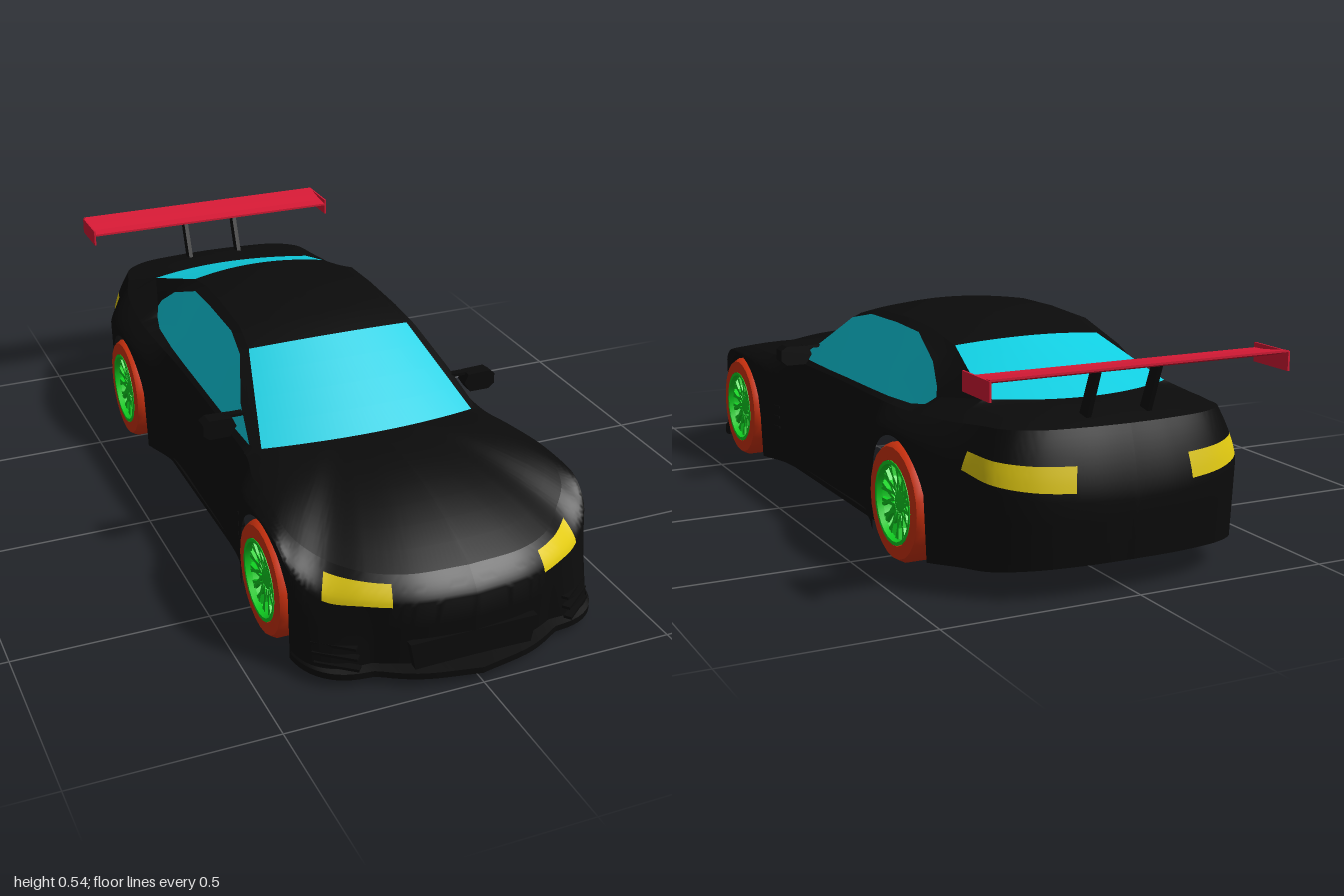
import * as THREE from 'three';
import { mergeGeometries, toCreasedNormals } from 'three/addons/utils/BufferGeometryUtils.js';

const V = (x, y, z) => new THREE.Vector3(x, y, z);
const mat = (color) => new THREE.MeshStandardMaterial({ color, side: THREE.DoubleSide });
const paint = mat(0x0b0b0b), glass = mat(0x0fd0e3), lamp = mat(0xe2ca10);
const red = mat(0xd81a36), rubber = mat(0xd4330f), green = mat(0x10d422);

// Plan outline from nose centre to tail centre: waist x, z, y, then top edge x, z, y
const outline = [
  [0, .95, .2, 0, .9, .262], [.15, .93, .2, .145, .885, .262], [.255, .882, .2, .235, .842, .264],
  [.335, .822, .2, .305, .768, .272], [.388, .765, .25, .35, .713, .298], [.4, .7, .3, .365, .66, .316],
  [.404, .605, .308, .366, .6, .328], [.398, .45, .295, .36, .45, .332], [.364, .34, .26, .335, .335, .332],
  [.355, .2, .25, .332, .2, .335], [.352, 0, .25, .332, 0, .34], [.355, -.25, .255, .335, -.25, .343],
  [.397, -.4, .295, .345, -.4, .35], [.406, -.54, .312, .35, -.54, .36], [.398, -.68, .3, .335, -.7, .372],
  [.355, -.8, .27, .305, -.8, .38], [.325, -.89, .25, .282, -.87, .384], [.25, -.945, .235, .22, -.915, .385],
  [.12, -.975, .225, .1, -.935, .385], [0, -.98, .22, 0, -.94, .385],
];
const last = outline.length - 1;
const waist = new THREE.CatmullRomCurve3(outline.map((c) => V(c[0], c[2], c[1])));
const top = new THREE.CatmullRomCurve3(outline.map((c) => V(c[3], c[5], c[4])));
const edge = (u) => top.getPoint(u / last);
const edgeAtZ = (z) => {
  let a = 0, b = last;
  for (let i = 0; i < 30; i++) { const m = (a + b) / 2; if (edge(m).z > z) a = m; else b = m; }
  return edge(a);
};

// Lower edge of the shell, lifted over the wheels
const axles = [[.605, .155], [-.54, .16]];
function lowerY(z) {
  for (const [c, r] of axles) if (Math.abs(z - c) < r) return .146 + Math.sqrt(r * r - (z - c) ** 2);
  return z > .7 ? .022 : z > -.6 ? .03 : .04 + (-.7 - z) * .13;
}
// Point on the side skin: v 0 = lower edge, 1 = waist, 2 = top edge
function skin(u, v) {
  const w = waist.getPoint(u / last);
  if (v <= 1) {
    // The bumper flares out at the front corners and tucks in elsewhere
    const flare = Math.sin(Math.PI * THREE.MathUtils.clamp((u - 1.8) / 2.4, 0, 1)) * (1 - v);
    const s = 1 - .01 * (1 - v);
    return V(w.x * (s + .05 * flare), THREE.MathUtils.lerp(Math.min(lowerY(w.z), w.y), w.y, v), w.z * s + .045 * flare);
  }
  const t = edge(u), k = v - 1;
  return V(w.x + (t.x - w.x) * k ** 1.5, w.y + (t.y - w.y) * k, w.z + (t.z - w.z) * k ** 1.5);
}

// Surface from rows of points, with its mirror image
function surface(rows, skip) {
  const pos = [], idx = [], n = rows[0].length;
  rows.forEach((r) => r.forEach((p) => pos.push(p.x, p.y, p.z)));
  for (let i = 0; i < rows.length - 1; i++) for (let j = 0; j < n - 1; j++) {
    if (skip && skip(i, j)) continue;
    const a = i * n + j;
    idx.push(a, a + 1, a + n, a + 1, a + n + 1, a + n);
  }
  const g = new THREE.BufferGeometry();
  g.setAttribute('position', new THREE.Float32BufferAttribute(pos, 3));
  g.setIndex(idx);
  const m = g.clone().scale(-1, 1, 1);
  return toCreasedNormals(mergeGeometries([g, m]), .6);
}
// Line between two points, bowed in y and z
const bow = (a, b, n, dy = 0, dz = 0) => Array.from({ length: n + 1 }, (_, i) => {
  const t = i / n, k = 4 * t * (1 - t);
  return a.clone().lerp(b, t).add(V(0, dy * k, dz * k));
});
// Bowed so that it runs level across the centre line at b
const crown = (a, b, n) => bow(a, b, n, (b.y - a.y) / 4, (b.z - a.z) / 4);
const ruled = (A, B, n, dy = () => 0) => A.map((a, i) => bow(a, B[i], n, dy(i / (A.length - 1))));

export function createModel() {
  const car = new THREE.Group();
  const add = (name, geo, m, parent = car) => {
    const mesh = new THREE.Mesh(geo, m);
    mesh.name = name;
    parent.add(mesh);
    return mesh;
  };
  const box = (name, size, at, m = paint, parent = car) => {
    const b = add(name, new THREE.BoxGeometry(...size), m, parent);
    b.position.set(...at);
    return b;
  };
  // Outline in the x-y or z-y plane, given thickness
  const plate = (pts, depth) => new THREE.ExtrudeGeometry(
    new THREE.Shape(pts.map(([a, b]) => new THREE.Vector2(a, b))), { depth, bevelEnabled: false });

  // Side skin, nose and tail, with the lamps set into it
  const sub = 12, levels = [0, .33, .67, ...Array.from({ length: 9 }, (_, i) => 1 + i / 8)];
  const rows = Array.from({ length: last * sub + 1 }, (_, i) => levels.map((v) => skin(i / sub, v)));
  const head = (i, j) => i >= 17 && i < 36 && j >= 3 && j < 9;
  const tail = (i, j) => i >= 15 * sub && i < 17.75 * sub && j >= 4 && j < 7;
  add('bodyShell', surface(rows, (i, j) => head(i, j) || tail(i, j)), paint);
  add('headlights', surface(rows, (i, j) => !head(i, j)), lamp);
  add('taillights', surface(rows, (i, j) => !tail(i, j)), lamp);

  // Cabin lines: lower and upper edge of the side window, and the roof rail
  const sill = [V(.316, .345, .305), V(.319, .346, .2), V(.32, .347, .07), V(.321, .35, -.04), V(.321, .352, -.2),
    V(.32, .354, -.32), V(.315, .36, -.45), V(.302, .37, -.51), V(.29, .392, -.54)];
  const lintel = [sill[0], V(.296, .405, .19), V(.253, .488, .07), V(.24, .511, -.03), V(.24, .515, -.2),
    V(.24, .511, -.33), V(.262, .462, -.46), V(.282, .415, -.525), sill[8]];
  const rail = [V(.295, .345, .335), V(.2615, .4215, .2025), V(.228, .498, .07), V(.217, .522, -.03), V(.212, .527, -.2),
    V(.207, .521, -.33), V(.2, .495, -.455), V(.2225, .455, -.5775), V(.245, .415, -.7)];
  const spine = [V(0, .515, .1), V(0, .537, 0), V(0, .541, -.2), V(0, .534, -.33), V(0, .508, -.475)];
  const across = 24;
  const screenBase = V(0, .362, .39), rearBase = V(0, .41, -.76);
  const roof = spine.map((p, i) => crown(rail[i + 2], p, across));
  add('sideWindows', surface(ruled(sill, lintel, 3)), glass);
  add('windshield', surface(ruled(roof[0], crown(rail[0], screenBase, across), 4)), glass);
  add('rearWindow', surface(ruled(roof[4], crown(rail[8], rearBase, across), 4)), glass);
  add('roof', surface(roof), paint);
  add('pillars', surface(ruled(lintel, rail, 2)), paint);
  const beltLine = [rail[0], ...sill, rail[8]];
  const belt = beltLine.slice(1).flatMap((p, i) => bow(beltLine[i], p, 8));
  add('beltPanels', surface(ruled(belt.map((p) => edgeAtZ(p.z)), belt, 2)), paint);

  // Hood and trunk lid run from the top edge to the glass
  const span = (a, b) => Array.from({ length: (b - a) * sub + 1 }, (_, i) => edge(a + i / sub));
  const hoodEdge = span(0, 8), trunkEdge = span(14, last);
  add('hood', surface(ruled(hoodEdge, crown(rail[0], screenBase, hoodEdge.length - 1).reverse(), 8, (t) => .038 * (1 - t))), paint);
  add('trunkLid', surface(ruled(trunkEdge, crown(rail[8], rearBase, trunkEdge.length - 1), 5, (t) => .006 * t)), paint);

  // Front splitter following the lower edge of the nose
  const lip = Array.from({ length: 25 }, (_, i) => {
    const u = i / 6, p = skin(u, 0), d = .054 * (1 - u / 4) ** 1.1;
    const at = (s, y, dz) => V(p.x * s, y, p.z + dz);
    return [at(1, .042, 0), at(1.01, .038, d), at(1.01, .022, d), at(.93, .022, -.03)];
  });
  add('frontSplitter', surface(lip), paint);
  add('lowerGrille', plate([[-.15, .035], [.15, .035], [.165, .11], [-.165, .11]], .02), paint).position.z = .925;

  for (const s of [-1, 1]) {
    box('sideSkirt', [.03, .014, .82], [s * .337, .036, .032]);
    // Bumper corner slats and fender louvres
    for (let i = 0; i < 3; i++) {
      box('bumperSlat', [.11, .007, .02], [s * .316, .05 + i * .022, .872 - i * .01]).rotation.y = s * .68;
      box('fenderLouvre', [.012, .006, .07], [s * .372, .13 + i * .03, .39]).rotation.y = s * .25;
    }

    // Door mirror
    const mirror = new THREE.Group();
    mirror.name = 'doorMirror';
    const shell = plate([[.325, .37], [.343, .343], [.398, .343], [.414, .356], [.414, .385], [.398, .396], [.336, .394]]
      .map(([x, y]) => [s * x, y]), .04);
    add('mirrorShell', shell, paint, mirror).position.z = .197;
    box('mirrorArm', [.06, .008, .02], [s * .318, .391, .21], paint, mirror);
    car.add(mirror);

    // Wing strut leaning back
    const strut = plate([[.85, .375], [.885, .375], [.935, .51], [.905, .51]], .012);
    strut.rotateY(Math.PI / 2).translate(s * .08 - .006, 0, 0);
    add('wingStrut', strut, paint);
    box('wingEndPlate', [.005, .046, .13], [s * .383, .503, -.935], red);
  }

  // Rear wing blade
  const blade = plate([[.872, .508], [.91, .505], [.955, .511], [.998, .524], [.998, .529], [.95, .522], [.91, .516], [.872, .514]], .766);
  add('wingBlade', blade.rotateY(Math.PI / 2).translate(-.383, 0, 0), red);

  // Wheels: profiles are radius and distance from the inner face
  const lathe = (pts, n = 24) => toCreasedNormals(
    new THREE.LatheGeometry(pts.map(([r, x]) => new THREE.Vector2(r, x)), n).rotateZ(-Math.PI / 2), .6);
  const tyre = lathe([[.092, .004], [.136, 0], [.145, .012], [.145, .155], [.136, .17], [.104, .172], [.094, .004]]);
  const rim = lathe([[.082, .006], [.092, .004], [.094, .06], [.098, .15], [.103, .173], [.094, .173], [.09, .158]]);
  const hub = lathe([[.001, .085], [.06, .09], [.06, .14], [.03, .152], [.012, .16], [.001, .16]], 20);
  const spokes = [];
  for (let i = 0; i < 14; i++) for (const k of [-1, 1]) {
    const g = new THREE.BoxGeometry(.012, .075, .008);
    g.rotateZ(-.1).rotateX(k * .22).translate(.152, .064, 0).rotateX(i * Math.PI / 7);
    spokes.push(g);
  }
  const spokeGeo = mergeGeometries(spokes);
  for (const [z] of axles) for (const s of [-1, 1]) {
    const wheel = new THREE.Group();
    wheel.name = (z > 0 ? 'front' : 'rear') + (s > 0 ? 'Left' : 'Right') + 'Wheel';
    add('tyre', tyre, rubber, wheel);
    add('rim', rim, green, wheel);
    add('hub', hub, green, wheel);
    add('spokes', spokeGeo, green, wheel);
    wheel.position.set(s * .235, .145, z);
    if (s < 0) wheel.rotation.y = Math.PI;
    car.add(wheel);
  }
  return car;
}
